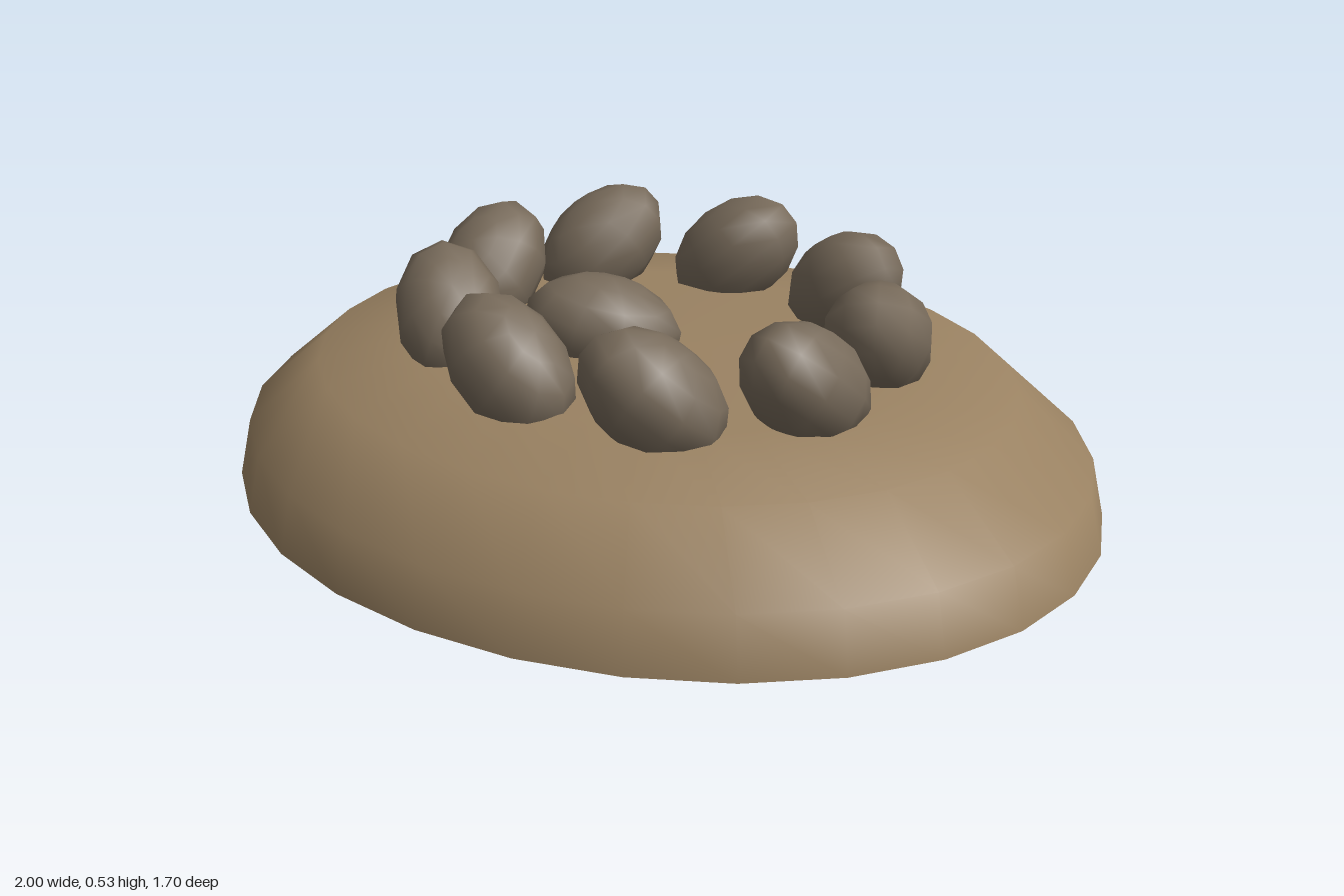
import * as THREE from 'three';

const DEG = Math.PI / 180;

export function createModel() {
  const model = new THREE.Group();
  model.name = 'stoneRing';
  const earth = new THREE.MeshStandardMaterial({ name: 'earth brown', color: 0x9a8262 });
  const stone = new THREE.MeshStandardMaterial({ name: 'stone grey brown', color: 0x776a5a });

  // Low oval mound
  const mound = new THREE.Group();
  mound.name = 'mound';
  mound.scale.z = 0.848;
  const profile = [[1, 0], [0.97, 0.13], [0.8, 0.275], [0.52, 0.316], [0, 0.326]]
    .map(([r, y]) => new THREE.Vector2(r, y));
  const moundTop = new THREE.Mesh(new THREE.LatheGeometry(profile, 28), earth);
  moundTop.name = 'moundTop';
  const moundBase = new THREE.Mesh(new THREE.CircleGeometry(1, 28), earth);
  moundBase.name = 'moundBase';
  moundBase.rotation.x = Math.PI / 2;
  mound.add(moundTop, moundBase);
  model.add(mound);

  // Oval stones: long axis turned by yaw, then dipped at its far end by tilt
  const pebble = new THREE.SphereGeometry(1, 10, 7);
  const addStone = (name, [x, y, z], size, yaw, tilt) => {
    const mesh = new THREE.Mesh(pebble, stone);
    mesh.name = name;
    mesh.position.set(x, y, z);
    mesh.scale.set(...size);
    mesh.rotation.set(0, yaw * DEG, -tilt * DEG, 'YXZ');
    model.add(mesh);
  };

  // Ring of nine leaning stones, counter-clockwise from the front
  const ring = [
    [-0.095, 0.415], [0.24, 0.38], [0.46, 0.16], [0.465, -0.13], [0.25, -0.366],
    [-0.08, -0.43], [-0.374, -0.297], [-0.49, -0.024], [-0.385, 0.254],
  ];
  ring.forEach(([x, z], i) =>
    addStone('ringStone' + (i + 1), [x, 0.386, z], [0.172, 0.118, 0.12], i * 40 - 4, 40));

  // Single stone lying inside the ring
  addStone('centreStone', [-0.107, 0.355, 0.07], [0.175, 0.115, 0.122], 30, 12);

  return model;
}
